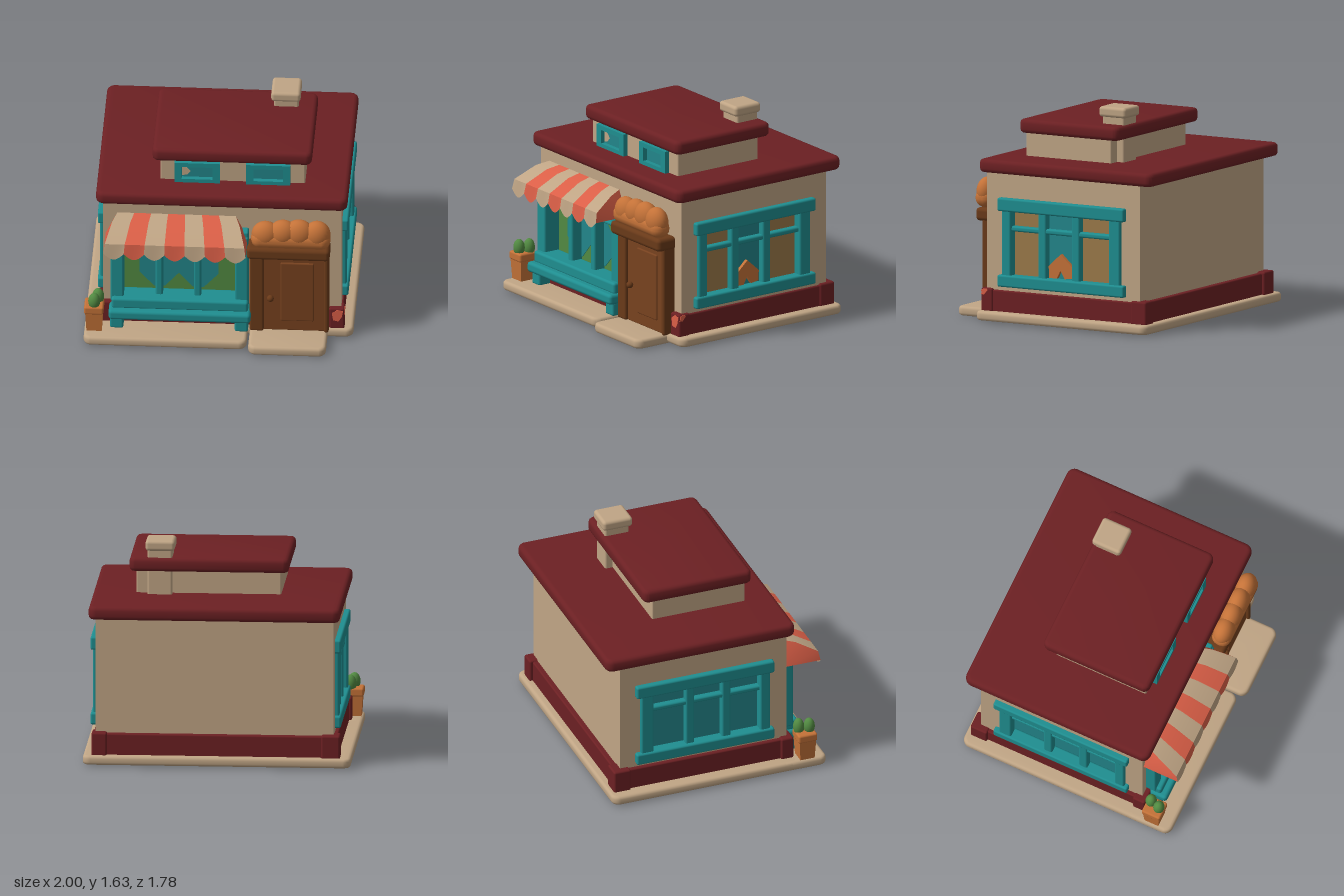
import * as THREE from 'three';
import { toCreasedNormals } from 'three/addons/utils/BufferGeometryUtils.js';
import { RoundedBoxGeometry } from 'three/addons/geometries/RoundedBoxGeometry.js';

const mat = (name, color, side = THREE.FrontSide) => {
  const m = new THREE.MeshStandardMaterial({ color, side });
  m.name = name;
  return m;
};

export function createModel() {
  const cream = mat('cream', 0xc0a585, THREE.DoubleSide);
  const maroon = mat('maroon', 0x6c2023);
  const teal = mat('teal', 0x1f8e90);
  const glassTeal = mat('tealGlass', 0x23868b);
  const brown = mat('doorBrown', 0x78421f);
  const darkBrown = mat('frameBrown', 0x6a3a19);
  const orange = mat('orange', 0xc47238);
  const coral = mat('coral', 0xdb5f47, THREE.DoubleSide);
  const green = mat('green', 0x528a42);
  const amber = mat('amberGlass', 0x9c7a4a);

  const model = new THREE.Group();
  const add = (name, geo, m, parent = model) => {
    const mesh = new THREE.Mesh(geo, m);
    mesh.name = name;
    parent.add(mesh);
    return mesh;
  };
  // Softened box given by its limits
  const box = (name, m, x0, x1, y0, y1, z0, z1, r = 0.015, parent = model) => {
    const w = x1 - x0, h = y1 - y0, d = z1 - z0;
    const geo = r > 0 ? new RoundedBoxGeometry(w, h, d, 2, Math.min(r, w / 2.1, h / 2.1, d / 2.1))
      : new THREE.BoxGeometry(w, h, d);
    const mesh = add(name, geo, m, parent);
    mesh.position.set((x0 + x1) / 2, (y0 + y1) / 2, (z0 + z1) / 2);
    return mesh;
  };
  const ball = (name, m, x, y, z, rx, ry, rz) => {
    const mesh = add(name, new THREE.SphereGeometry(1, 24, 16), m);
    mesh.position.set(x, y, z);
    mesh.scale.set(rx, ry, rz);
    return mesh;
  };
  const rect = (x0, x1, y0, y1, C = THREE.Shape) =>
    new C([[x0, y0], [x1, y0], [x1, y1], [x0, y1]].map(p => new THREE.Vector2(...p)));
  const poly = pts => new THREE.Shape(pts.map(p => new THREE.Vector2(...p)));
  const plate = (name, m, shape, depth, z, parent = model) => {
    const mesh = add(name, new THREE.ExtrudeGeometry(shape, { depth, bevelEnabled: false }), m, parent);
    mesh.position.z = z;
    return mesh;
  };
  // Flat slab with round corners and soft edges
  const slab = (name, m, x0, x1, z0, z1, y0, y1, r = 0.06, b = 0.022) => {
    const s = new THREE.Shape();
    const l = x0 + b, R = x1 - b, n = -z1 + b, f = -z0 - b, c = r - b, P = Math.PI / 2;
    s.absarc(R - c, n + c, c, -P, 0);
    s.absarc(R - c, f - c, c, 0, P);
    s.absarc(l + c, f - c, c, P, 2 * P);
    s.absarc(l + c, n + c, c, 2 * P, 3 * P);
    const geo = new THREE.ExtrudeGeometry(s, {
      depth: y1 - y0 - 2 * b, bevelThickness: b, bevelSize: b, bevelSegments: 3, curveSegments: 5,
    });
    geo.rotateX(-P);
    geo.translate(0, y0 + b, 0);
    return add(name, toCreasedNormals(geo, 0.7), m);
  };

  // Ground slabs and door step
  slab('groundSlab', cream, -1, 1, -0.87, 0.62, 0.01, 0.08);
  slab('frontPavement', cream, -1, 0.215, 0.45, 0.84, 0.01, 0.08);
  slab('doorStep', cream, 0.23, 0.81, 0.45, 0.89, 0, 0.072);

  // Plinth with corner blocks
  box('plinth', maroon, -0.9, 0.925, 0.07, 0.24, -0.81, 0.59, 0.012);
  for (const [x0, x1] of [[-0.92, -0.78], [0.82, 0.935]])
    for (const [z0, z1] of [[-0.835, -0.7], [0.5, 0.6]])
      box('plinthCorner', maroon, x0, x1, 0.07, 0.25, z0, z1, 0.015);
  const patch = [[0.84, 0.21], [0.85, 0.15], [0.89, 0.14], [0.915, 0.18], [0.925, 0.23], [0.88, 0.24]];
  plate('plinthPatch', coral, poly(patch), 0.005, 0.598);
  const sidePatch = plate('plinthPatch', coral,
    poly([[-0.595, 0.2], [-0.57, 0.2], [-0.54, 0.235], [-0.55, 0.245], [-0.59, 0.24]]), 0.005, 0);
  sidePatch.rotation.y = Math.PI / 2;
  sidePatch.position.x = 0.933;

  // Walls: solid core and outer panels with window openings
  box('wallCore', cream, -0.81, 0.85, 0.07, 1.15, -0.77, 0.5, 0);
  const frontWall = rect(-0.87, 0.91, 0.07, 1.15);
  frontWall.holes.push(rect(-0.74, 0.15, 0.3, 0.83, THREE.Path));
  plate('frontWall', cream, frontWall, 0.06, 0.5);

  const sideWall = s => {
    const g = new THREE.Group();
    g.name = s > 0 ? 'leftSide' : 'rightSide';
    g.rotation.y = s * Math.PI / 2;
    g.position.x = s > 0 ? 0.91 : -0.87;
    model.add(g);
    const span = (a, b) => [Math.min(-s * a, -s * b), Math.max(-s * a, -s * b)];
    const wall = rect(...span(-0.77, 0.5), 0.07, 1.15);
    wall.holes.push(rect(...span(-0.53, 0.36), 0.33, 0.86, THREE.Path));
    plate('sideWall', cream, wall, 0.06, -0.06, g);
    const bar = (name, a, b, y0, y1, z1) =>
      box(name, teal, ...span(a, b), y0, y1, -0.05, z1, 0.015, g);
    bar('windowHead', -0.65, 0.45, 0.84, 0.94, 0.045);
    bar('windowSill', -0.65, 0.45, 0.27, 0.36, 0.045);
    bar('windowPost', 0.34, 0.42, 0.3, 0.9, 0.03);
    bar('windowPost', -0.61, -0.51, 0.3, 0.9, 0.03);
    bar('mullion', 0.04, 0.11, 0.33, 0.86, 0.015);
    bar('mullion', -0.25, -0.18, 0.33, 0.86, 0.015);
    bar('transom', -0.53, 0.36, 0.69, 0.73, 0.01);
    // Panes
    for (const [a, b, m] of [[0.075, 0.36, amber], [-0.215, 0.075, glassTeal], [-0.53, -0.215, amber]])
      box('windowPane', s > 0 ? m : glassTeal, ...span(a, b), 0.33, 0.86, -0.062, -0.053, 0, g);
    // Heart-shaped display loaf
    if (s > 0) plate('displayLoaf', orange, poly([[-0.035, 0.36], [0.03, 0.36], [0.062, 0.42], [0.1, 0.36],
      [0.165, 0.37], [0.17, 0.45], [0.065, 0.545], [-0.04, 0.45]]), 0.03, -0.055, g);
  };
  sideWall(1);
  sideWall(-1);

  // Shop window
  box('shopSill', teal, -0.82, 0.24, 0.17, 0.25, 0.54, 0.73, 0.025);
  box('shopLowerRail', teal, -0.8, 0.22, 0.24, 0.33, 0.5, 0.68, 0.02);
  box('shopHead', teal, -0.8, 0.22, 0.81, 0.92, 0.5, 0.63);
  for (const [x0, x1] of [[-0.81, -0.71], [0.12, 0.22]]) {
    box('sillLeg', teal, x0, x1, 0.075, 0.18, 0.54, 0.69);
    box('shopPost', teal, x0, x1, 0.28, 0.88, 0.5, 0.64);
  }
  for (const [x0, x1] of [[-0.475, -0.42], [-0.19, -0.135]])
    box('shopMullion', teal, x0, x1, 0.3, 0.86, 0.5, 0.6);
  box('shopTransom', teal, -0.74, 0.15, 0.72, 0.745, 0.5, 0.585, 0.01);
  box('shopGlass', green, -0.74, 0.15, 0.3, 0.83, 0.495, 0.507, 0);
  plate('glassMotif', glassTeal, poly([[-0.6, 0.47], [-0.49, 0.35], [-0.41, 0.35], [-0.305, 0.47], [-0.2, 0.35],
    [-0.12, 0.35], [-0.01, 0.47], [-0.01, 0.59], [-0.12, 0.71], [-0.2, 0.71], [-0.305, 0.6],
    [-0.41, 0.71], [-0.49, 0.71], [-0.6, 0.59]]), 0.006, 0.506);

  // Striped awning with scalloped hem
  const profile = [[1.02, 0.555, 0], [0.995, 0.66, 0.4], [0.905, 0.825, 0.9], [0.83, 0.84, 1]];
  const awningX = (u, k) => THREE.MathUtils.lerp(-0.76 + 0.88 * u, -0.85 + 1.06 * u, k);
  const surface = (pos, index) => {
    const geo = new THREE.BufferGeometry();
    geo.setAttribute('position', new THREE.Float32BufferAttribute(pos, 3));
    geo.setIndex(index);
    return toCreasedNormals(geo, 0.8);
  };
  const stripes = 7, cols = 8;
  for (let i = 0; i < stripes; i++) {
    const pos = [], index = [];
    profile.forEach(([y, z, k], r) => {
      for (let c = 0; c <= cols; c++) {
        const t = c / cols, hem = r === 3 ? 0.05 * Math.sin(Math.PI * t) : 0;
        pos.push(awningX((i + t) / stripes, k), y - hem, z);
        if (r < 3 && c < cols) {
          const a = r * (cols + 1) + c, b = a + cols + 1;
          index.push(a, b, a + 1, b, b + 1, a + 1);
        }
      }
    });
    add('awningStripe', surface(pos, index), i % 2 ? coral : cream);
  }
  for (const u of [0, 1]) {
    const pos = [awningX(u, 1), 0.83, 0.555], index = [];
    profile.forEach(([y, z, k], r) => {
      pos.push(awningX(u, k), y, z);
      if (r < 3) index.push(0, u ? r + 2 : r + 1, u ? r + 1 : r + 2);
    });
    add('awningEnd', surface(pos, index), coral);
  }

  // Door
  box('doorPost', darkBrown, 0.23, 0.335, 0.07, 0.76, 0.54, 0.66);
  box('doorPost', darkBrown, 0.785, 0.82, 0.07, 0.76, 0.54, 0.66);
  box('doorLintel', darkBrown, 0.21, 0.83, 0.73, 0.83, 0.54, 0.715, 0.03);
  box('door', brown, 0.33, 0.79, 0.07, 0.74, 0.54, 0.635, 0.008);
  box('doorPanel', brown, 0.46, 0.71, 0.16, 0.67, 0.6, 0.648, 0.01);
  ball('doorKnob', darkBrown, 0.385, 0.36, 0.655, 0.026, 0.026, 0.026);

  // Bread loaf above the door
  box('loafBase', orange, 0.24, 0.835, 0.83, 0.97, 0.585, 0.735, 0.07);
  for (const [x, y, rx, ry] of [[0.35, 0.935, 0.105, 0.105], [0.48, 0.95, 0.105, 0.105],
    [0.6, 0.95, 0.11, 0.112], [0.735, 0.945, 0.1, 0.11]])
    ball('loafLobe', orange, x, y, 0.66, rx, ry, 0.078);

  // Potted cactus: tapered square pot with rim
  const potGeo = new THREE.CylinderGeometry(0.095, 0.08, 0.18, 4, 1).toNonIndexed();
  potGeo.rotateY(Math.PI / 4);
  potGeo.computeVertexNormals();
  add('pot', potGeo, orange).position.set(-0.925, 0.165, 0.685);
  box('potRim', orange, -1, -0.855, 0.23, 0.295, 0.61, 0.76, 0.015);
  ball('cactus', green, -0.9, 0.325, 0.645, 0.045, 0.068, 0.042);
  ball('cactus', green, -0.925, 0.33, 0.72, 0.045, 0.065, 0.042);

  // Roofs and upper storey
  slab('mainRoof', maroon, -0.92, 0.955, -0.89, 0.62, 1.12, 1.22, 0.06, 0.03);
  box('upperStorey', cream, -0.45, 0.63, 1.18, 1.43, -0.35, 0.39, 0.01);
  slab('upperRoof', maroon, -0.51, 0.68, -0.435, 0.43, 1.395, 1.5, 0.05, 0.03);
  box('chimney', cream, 0.36, 0.545, 1.18, 1.57, -0.41, -0.22, 0.015);
  box('chimneyCap', cream, 0.34, 0.56, 1.55, 1.63, -0.43, -0.195, 0.025);

  // Upper windows
  for (const [x0, x1] of [[-0.345, -0.005], [0.19, 0.52]]) {
    const frame = rect(x0, x1, 1.2, 1.39);
    frame.holes.push(rect(x0 + 0.055, x1 - 0.055, 1.25, 1.355, THREE.Path));
    plate('upperWindowFrame', teal, frame, 0.05, 0.38);
    box('upperWindowPane', glassTeal, x0 + 0.03, x1 - 0.03, 1.23, 1.37, 0.385, 0.394, 0);
  }
  plate('paneHighlight', cream, poly([[-0.29, 1.26], [-0.25, 1.27], [-0.225, 1.3], [-0.25, 1.33], [-0.29, 1.35]]),
    0.004, 0.392);
  return model;
}
